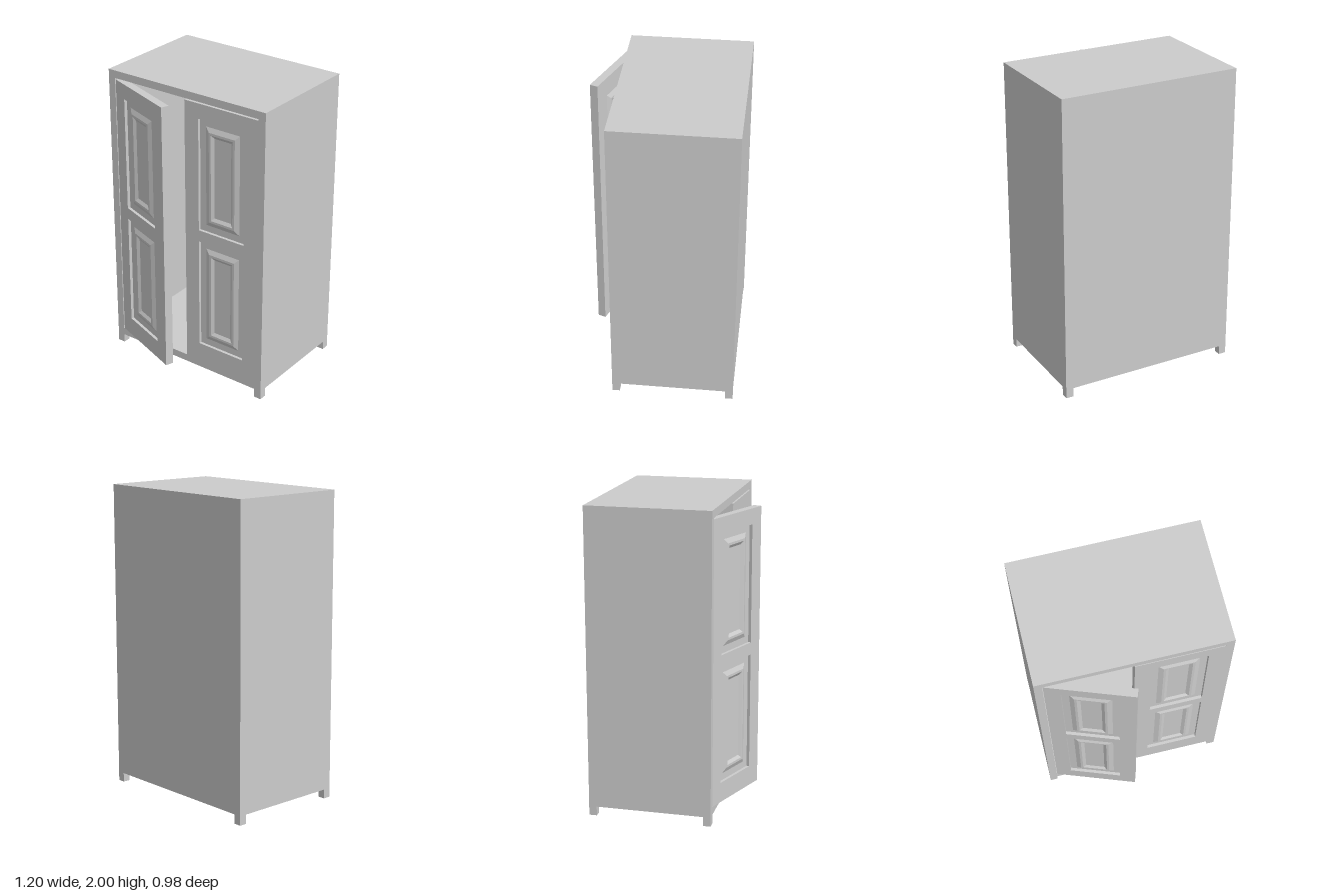
import * as THREE from 'three';

const grey = new THREE.MeshStandardMaterial({ color: 0xcccccc, flatShading: true });
const X = 0.6, H = 2, BACK = -0.49, FRONT = 0.305, WALL = 0.05;
const DOOR = { w: 0.55, bottom: 0.11, top: 1.94, depth: 0.053 };

// Box given by its minimum and maximum corners
function box(parent, name, [x0, y0, z0], [x1, y1, z1]) {
  const mesh = new THREE.Mesh(new THREE.BoxGeometry(x1 - x0, y1 - y0, z1 - z0), grey);
  mesh.name = name;
  mesh.position.set((x0 + x1) / 2, (y0 + y1) / 2, (z0 + z1) / 2);
  parent.add(mesh);
  return mesh;
}

// Panel face: nested rectangles, each given as [inset, height], closed in the middle
function panelGeometry(w, h, rings) {
  const pos = [], index = [];
  for (const [d, z] of rings) {
    const a = w / 2 - d, b = h / 2 - d;
    pos.push(-a, -b, z, a, -b, z, a, b, z, -a, b, z);
  }
  for (let r = 0; r < rings.length - 1; r++) {
    for (let i = 0; i < 4; i++) {
      const a = r * 4 + i, b = r * 4 + (i + 1) % 4;
      index.push(a, b, b + 4, a, b + 4, a + 4);
    }
  }
  const c = (rings.length - 1) * 4;
  index.push(c, c + 1, c + 2, c, c + 2, c + 3);
  const geo = new THREE.BufferGeometry();
  geo.setAttribute('position', new THREE.Float32BufferAttribute(pos, 3));
  geo.setIndex(index);
  const flat = geo.toNonIndexed();
  flat.computeVertexNormals();
  return flat;
}

// Door with two moulded panels; x runs from 0 to w, front face at z = 0
function makeDoor(name, panelX0, panelX1) {
  const door = new THREE.Group();
  door.name = name;
  const shape = new THREE.Shape([
    [0, DOOR.bottom], [DOOR.w, DOOR.bottom], [DOOR.w, DOOR.top], [0, DOOR.top],
  ].map(p => new THREE.Vector2(...p)));
  const rings = [[0, 0.007], [0.045, 0.007], [0.075, 0.02], [0.09, 0.02], [0.11, 0.007]];
  for (const [y0, y1] of [[0.24, 1.0], [1.08, 1.84]]) {
    shape.holes.push(new THREE.Path([
      [panelX0, y0], [panelX0, y1], [panelX1, y1], [panelX1, y0],
    ].map(p => new THREE.Vector2(...p))));
    const geo = panelGeometry(panelX1 - panelX0, y1 - y0, rings);
    for (const turn of [0, Math.PI]) {
      const panel = new THREE.Mesh(geo, grey);
      panel.name = turn ? 'panelBack' : 'panelFront';
      panel.position.set((panelX0 + panelX1) / 2, (y0 + y1) / 2, -DOOR.depth / 2);
      panel.rotation.y = turn;
      door.add(panel);
    }
  }
  const frameGeo = new THREE.ExtrudeGeometry(shape, { depth: DOOR.depth, bevelEnabled: false });
  const frame = new THREE.Mesh(frameGeo, grey);
  frame.name = 'doorFrame';
  frame.position.z = -DOOR.depth;
  door.add(frame);
  return door;
}

export function createModel() {
  const model = new THREE.Group();
  model.name = 'wardrobe';

  // Carcass: walls, top, back and floor
  const inner = X - WALL;
  for (const s of [-1, 1]) {
    const [a, b] = s < 0 ? [-X, -inner] : [inner, X];
    box(model, s < 0 ? 'rightWall' : 'leftWall', [a, 0.11, BACK], [b, H, FRONT]);
  }
  box(model, 'top', [-inner, H - WALL, BACK], [inner, H, FRONT]);
  box(model, 'backWall', [-inner, 0.11, BACK], [inner, H - WALL, BACK + WALL]);
  box(model, 'floor', [-X + 0.005, 0.1, BACK + 0.005], [X - 0.005, 0.11, FRONT - 0.005]);

  // Feet at the corners, with a thin skirt between them
  const t = 0.01, foot = 0.05;
  for (const x of [-X, X - foot]) {
    for (const z of [BACK, FRONT - foot]) {
      box(model, 'foot', [x, 0, z], [x + foot, 0.11, z + foot]);
    }
  }
  for (const x of [-X, X - t]) {
    box(model, 'sideSkirt', [x, 0.06, BACK + foot], [x + t, 0.11, FRONT - foot]);
  }
  for (const z of [BACK, FRONT - t]) {
    box(model, 'skirt', [-X + foot, 0.06, z], [X - foot, 0.11, z + t]);
  }

  // Closed door, flush with the front
  const closed = makeDoor('closedDoor', 0.105, 0.45);
  closed.position.set(0, 0, FRONT);
  model.add(closed);

  // Open door, swung out about its outer edge
  const open = makeDoor('openDoor', 0.1, 0.445);
  open.position.set(-0.547, 0, 0.302);
  open.rotation.y = -THREE.MathUtils.degToRad(20);
  model.add(open);

  return model;
}
